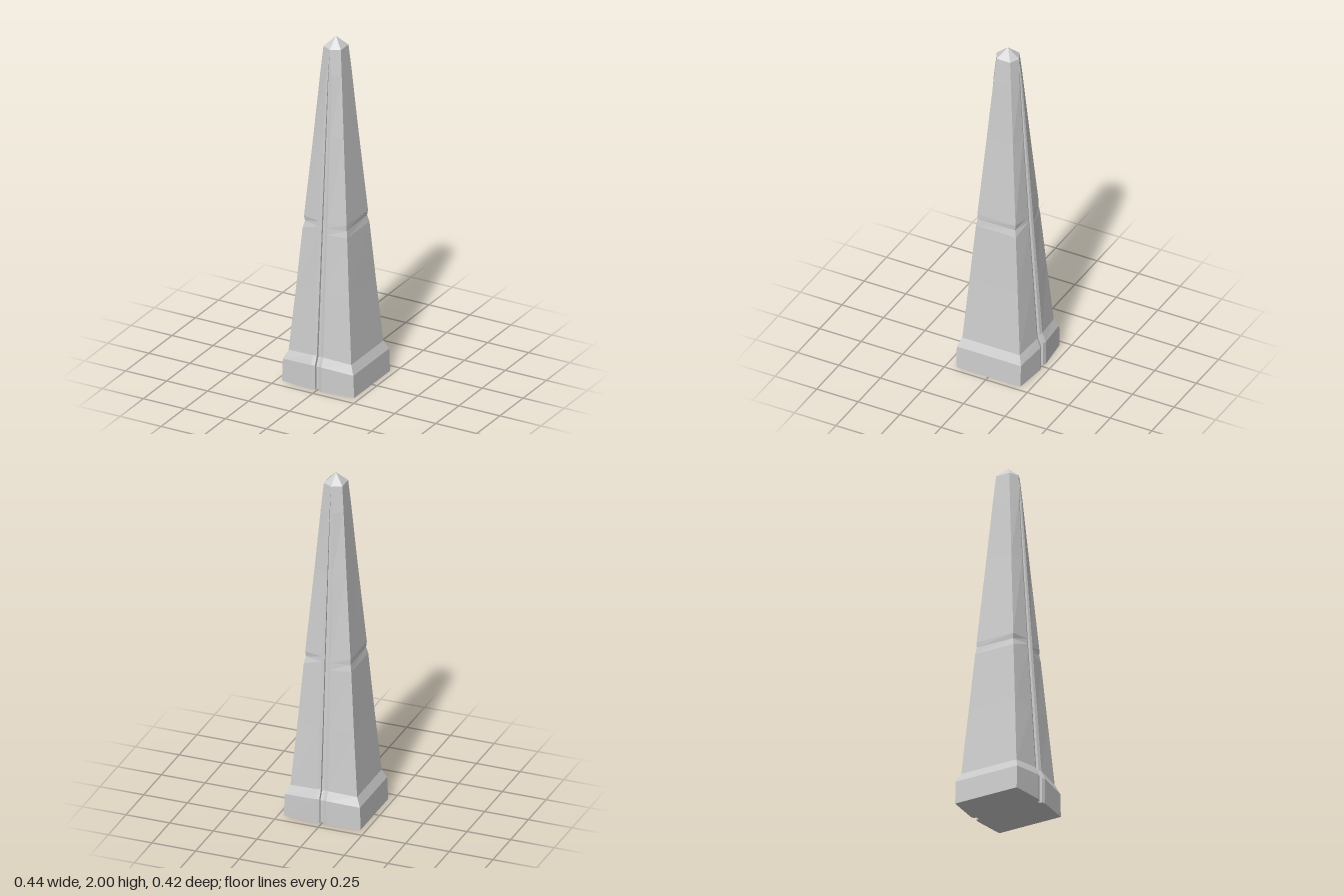
import * as THREE from 'three';

// Levels of the shaft: y, half width, corner depth, middle depth, lip, groove half width, groove depth, corner wear
const LEVELS = [
  [0.00, 0.220, 0.193, 0.212, 0.032, 0.012, 0.022, 0],
  [0.13, 0.215, 0.193, 0.212, 0.032, 0.012, 0.022, 0],
  [0.18, 0.191, 0.173, 0.191, 0.030, 0.012, 0.022, 0],
  [0.55, 0.162, 0.146, 0.166, 0.028, 0.011, 0.020, 0.001],
  [0.89, 0.136, 0.120, 0.141, 0.025, 0.011, 0.018, 0],
  [0.93, 0.133, 0.117, 0.138, 0.025, 0.011, 0.018, 0.006],
  [0.96, 0.130, 0.115, 0.136, 0.025, 0.011, 0.018, 0],
  [1.45, 0.092, 0.079, 0.102, 0.020, 0.009, 0.014, 0.001],
  [1.80, 0.065, 0.053, 0.078, 0.014, 0.006, 0.008, 0],
  [1.945, 0.053, 0.041, 0.067, 0, 0, 0, 0],
];

// One closed outline, anticlockwise from above, with a groove front and back
function ring([y, w, d, m, lip, g, depth, wear]) {
  const crest = y > 0.1 && y < 0.2 ? 0.013 : 0; // the ledge rises towards the groove
  const side = (s) => [
    [-w + wear, y, d - wear], [-lip, y + crest, m], [-g, y + crest, m - depth * 0.3], [-g, y, m - depth],
    [g, y, m - depth], [g, y + crest, m - depth * 0.3], [lip, y + crest, m], [w - wear * 0.5, y, d - wear * 0.5],
  ].map(([px, py, pz]) => new THREE.Vector3(px * s, py, pz * s));
  return [...side(1), ...side(-1)];
}

function fromTriangles(points) {
  const geometry = new THREE.BufferGeometry().setFromPoints(points);
  geometry.computeVertexNormals();
  return geometry;
}

export function createModel() {
  const group = new THREE.Group();
  group.name = 'obelisk';
  const stone = new THREE.MeshStandardMaterial({ color: 0xcccccc, flatShading: true });
  stone.name = 'grey stone';
  const rings = LEVELS.map(ring);
  const add = (name, points) => {
    const mesh = new THREE.Mesh(fromTriangles(points), stone);
    mesh.name = name;
    group.add(mesh);
  };

  // Walls between two levels
  const walls = (from, to) => {
    const points = [];
    for (let k = from; k < to; k++) {
      const low = rings[k], high = rings[k + 1];
      low.forEach((a, i) => {
        const j = (i + 1) % low.length;
        points.push(a, low[j], high[j], a, high[j], high[i]);
      });
    }
    return points;
  };

  // Underside, facing down
  const base = rings[0];
  const outline = base.map((p) => new THREE.Vector2(p.x, -p.z));
  const underside = [];
  for (const [a, b, c] of THREE.ShapeUtils.triangulateShape(outline, [])) {
    underside.push(base[a], base[c], base[b]);
  }
  add('plinth', [...walls(0, 2), ...underside]);
  add('shaft', walls(2, LEVELS.length - 1));

  // Six-sided point
  const top = rings[rings.length - 1];
  const apex = new THREE.Vector3(0, 2, 0);
  const cap = [];
  top.forEach((a, i) => {
    const b = top[(i + 1) % top.length];
    if (a.distanceTo(b) > 0.001) cap.push(a, b, apex);
  });
  add('capstone', cap);
  return group;
}
